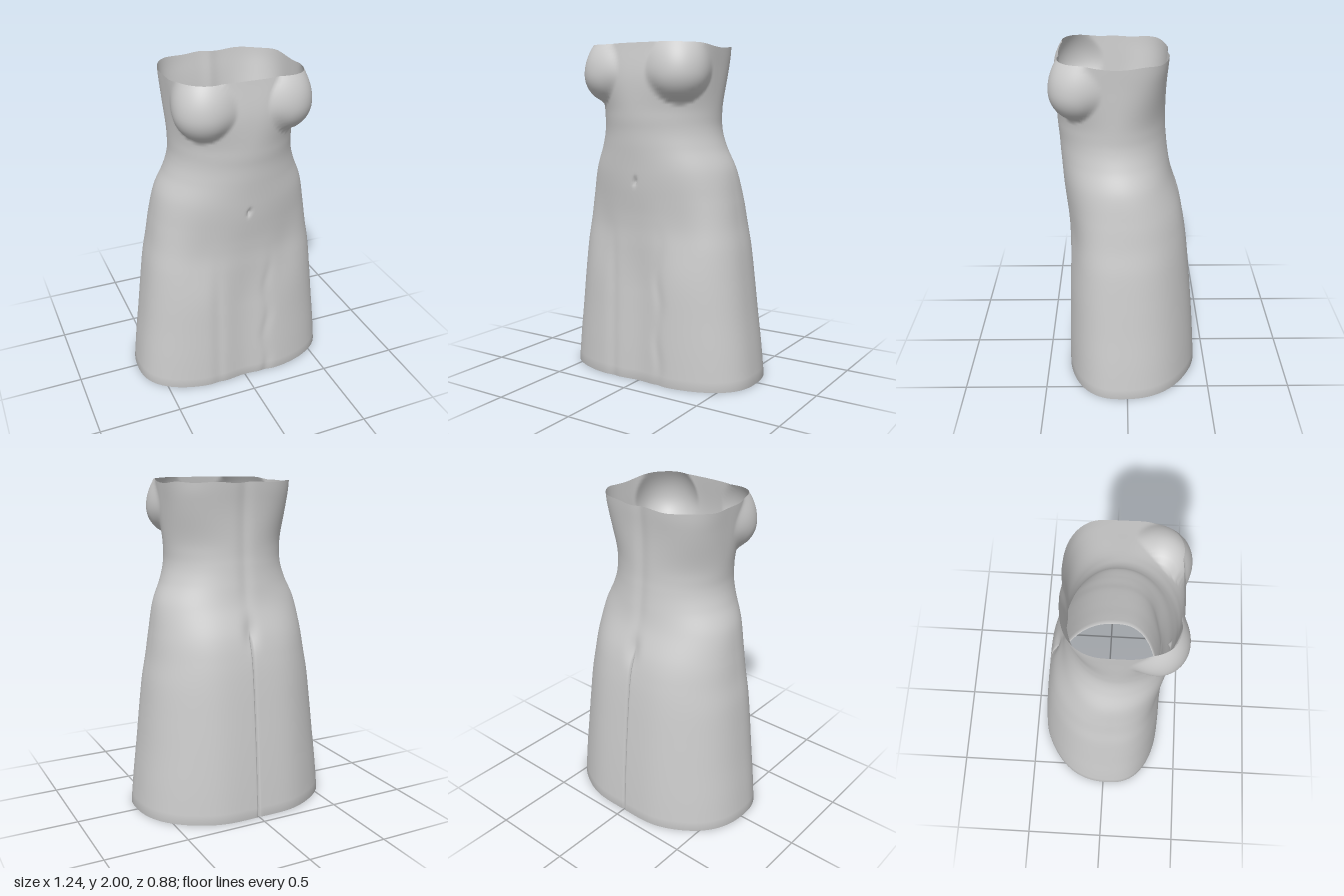
import * as THREE from 'three';

// Profile stations from hem to neckline: height, half width, front z, back z, z of widest point
const STATIONS = [
  [0.0, 0.622, 0.378, -0.437, 0.03],
  [0.2, 0.602, 0.375, -0.425, 0.03],
  [0.4, 0.578, 0.37, -0.41, 0.03],
  [0.6, 0.556, 0.365, -0.392, 0.03],
  [0.8, 0.532, 0.356, -0.372, 0.03],
  [0.95, 0.505, 0.35, -0.352, 0.03],
  [1.1, 0.483, 0.357, -0.322, 0.03],
  [1.27, 0.452, 0.379, -0.27, 0.04],
  [1.4, 0.398, 0.392, -0.248, 0.06],
  [1.5, 0.37, 0.398, -0.236, 0.07],
  [1.6, 0.366, 0.406, -0.229, 0.07],
  [1.8, 0.376, 0.41, -0.228, 0.07],
  [2.0, 0.386, 0.385, -0.242, 0.07],
];
const ROWS = 120;
const gauss = (d, s) => Math.exp(-(d * d) / (2 * s * s));
const step = THREE.MathUtils.smoothstep;

// Where a ray leaves the bust ellipsoid, or 0 if it misses
function bustReach(s, c, y, zc) {
  const dy = (y - 1.825) / (y < 1.825 ? 0.167 : 0.22);
  const k = 1 - dy * dy;
  if (k <= 0) return 0;
  const rx = 0.172, rz = 0.167;
  const dx = Math.abs(s) / rx, dz = c / rz;
  const ox = -0.229 / rx, oz = (zc - 0.27) / rz;
  const A = dx * dx + dz * dz, B = dx * ox + dz * oz;
  const disc = B * B - A * (ox * ox + oz * oz - k);
  return disc < 0 ? 0 : (-B + Math.sqrt(disc)) / A;
}

// Soft maximum, so the bust blends into the bodice
function blendMax(a, b, k) {
  const h = Math.max(k - Math.abs(a - b), 0) / k;
  return Math.max(a, b) + h * h * k * 0.25;
}

// Squareness of the outline: full at the hem, round at the waist, squarer at the neckline
function squareness(front, y) {
  const [hem, waist, neck] = front ? [2.5, 1.95, 2.9] : [2.3, 2.05, 3.1];
  return hem + (waist - hem) * step(y, 0.9, 1.5) + (neck - waist) * step(y, 1.6, 1.97);
}

// Radius of the dress around its axis at a given angle (0 = front)
function radius(angle, y, w, zf, zb, zc) {
  const s = Math.sin(angle), c = Math.cos(angle);
  const n = squareness(c > 0, y);
  const depth = c > 0 ? zf - zc : zc - zb;
  let r = Math.pow(Math.pow(Math.abs(s) / w, n) + Math.pow(Math.abs(c) / depth, n), -1 / n);
  const x = r * s;
  const skirt = 1 - step(y, 0.55, 1.0);
  if (c > 0) {
    // dip between the legs, with a fold along each side
    r -= skirt * 0.027 * gauss(x, 0.11);
    r -= skirt * 0.009 * (gauss(x - 0.15 - 0.012 * Math.sin(y * 17), 0.022) + gauss(x + 0.19, 0.025));
    // hollows beside the belly
    r -= 0.014 * gauss(Math.abs(x) - 0.29, 0.08) * gauss(y - 0.9, 0.14);
    // navel and soft belly
    r -= 0.022 * gauss(x, 0.007) * gauss(y - 1.21, 0.013);
    r += 0.01 * gauss(x, 0.13) * gauss(y - 1.13, 0.1);
    const b = bustReach(s, c, y, zc);
    if (b > 0) r = blendMax(r, b, 0.012 + 0.06 * step(y, 1.68, 1.86));
  } else {
    // spine hollow, seat and the narrow centre seam
    r -= 0.009 * gauss(x, 0.03) * step(y, 1.15, 1.4);
    r -= 0.02 * gauss(x, 0.03) * gauss(y - 1.12, 0.06);
    r += 0.012 * gauss(Math.abs(x) - 0.24, 0.1) * (1 - step(y, 1.0, 1.4));
    r -= 0.025 * gauss(x, 0.003) * (1 - step(y, 1.04, 1.12));
  }
  return r;
}

function dressGeometry() {
  const bodyCurve = new THREE.CatmullRomCurve3(
    STATIONS.map(([y, w, zf]) => new THREE.Vector3(w, y, zf)), false, 'catmullrom');
  const backCurve = new THREE.CatmullRomCurve3(
    STATIONS.map(([y, , , zb, zc]) => new THREE.Vector3(zb, y, zc)), false, 'catmullrom');

  // even columns, with extra ones beside the back seam
  const angles = [];
  for (let i = 0; i < 180; i++) angles.push((i / 180) * Math.PI * 2);
  for (const d of [0.008, 0.018]) angles.push(Math.PI - d, Math.PI + d);
  angles.sort((a, b) => a - b);
  const cols = angles.length;

  const positions = [], index = [];
  const addRow = (t, inset) => {
    const f = bodyCurve.getPoint(t), b = backCurve.getPoint(t);
    for (const a of angles) {
      const r = radius(a, f.y, f.x, f.z, b.x, b.z) - inset;
      // slightly uneven neckline, lower at the sides and back
      const dip = 0.008 * (1 - Math.cos(a)) + 0.012 * gauss(Math.abs(Math.sin(a)) - 1, 0.05)
        + 0.004 * Math.sin(a * 9) * Math.sin(a / 2);
      const y = f.y - step(f.y, 1.85, 2) * Math.max(dip, 0);
      positions.push(r * Math.sin(a), y, b.z + r * Math.cos(a));
    }
  };
  addRow(0, 0.014); // turned-under hem
  addRow(0, 0);
  for (let j = 3; j <= ROWS; j++) addRow(j / ROWS, 0);
  const rows = positions.length / 3 / cols;
  for (let j = 0; j < rows - 1; j++) {
    for (let i = 0; i < cols; i++) {
      const k = (i + 1) % cols;
      const a = j * cols + i, b = j * cols + k;
      index.push(a, b, b + cols, a, b + cols, a + cols);
    }
  }
  const g = new THREE.BufferGeometry();
  g.setAttribute('position', new THREE.Float32BufferAttribute(positions, 3));
  g.setIndex(index);
  g.computeVertexNormals();
  return g;
}

export function createModel() {
  const group = new THREE.Group();
  group.name = 'straplessDress';
  const fabric = new THREE.MeshStandardMaterial({ color: 0xcccccc, side: THREE.DoubleSide });
  fabric.name = 'greyFabric';
  const dress = new THREE.Mesh(dressGeometry(), fabric);
  dress.name = 'dress';
  group.add(dress);
  return group;
}
